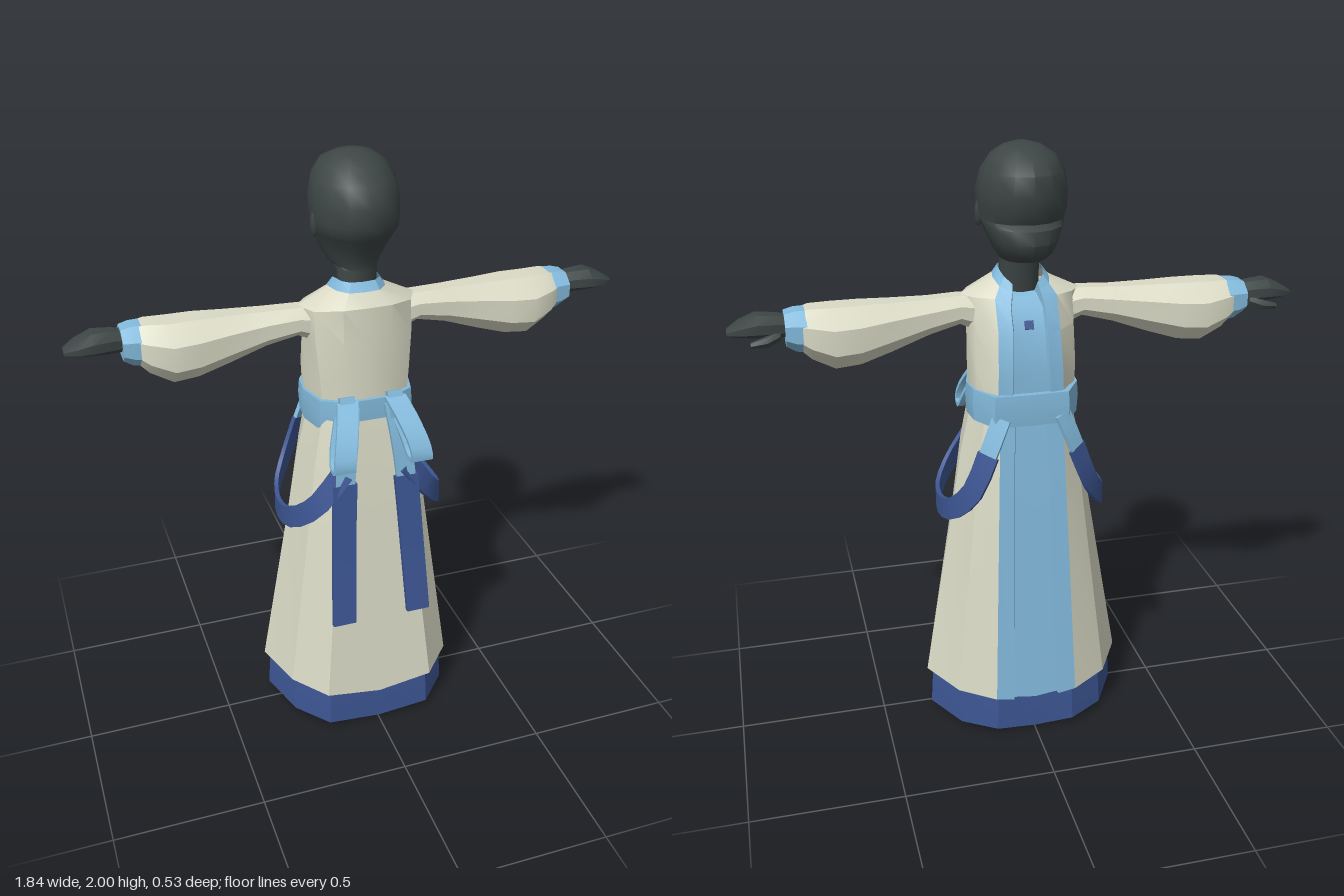
import * as THREE from 'three';
import { toCreasedNormals } from 'three/addons/utils/BufferGeometryUtils.js';

const V = (x, y, z) => new THREE.Vector3(x, y, z);
const mat = (name, color) => new THREE.MeshStandardMaterial({ name, color, side: THREE.DoubleSide });

// Skin a list of closed rings; trim(column) picks the second material
function loft(rings, { caps = true, trim = () => false, crease = 0.5 } = {}) {
  const faces = [[], []];
  const n = rings[0].length;
  const tri = (k, ...ps) => ps.forEach((p) => faces[k].push(p.x, p.y, p.z));
  for (let i = 0; i + 1 < rings.length; i++) {
    for (let j = 0; j < n; j++) {
      const a = rings[i][j], b = rings[i][(j + 1) % n];
      const c = rings[i + 1][(j + 1) % n], d = rings[i + 1][j];
      const k = trim(j) ? 1 : 0;
      tri(k, a, d, c);
      tri(k, a, c, b);
    }
  }
  if (caps) {
    const ends = [rings[0], [...rings[rings.length - 1]].reverse()];
    for (const r of ends) {
      const mid = r.reduce((s, p) => s.add(p), V(0, 0, 0)).divideScalar(n);
      r.forEach((p, j) => tri(0, mid, p, r[(j + 1) % n]));
    }
  }
  const geo = new THREE.BufferGeometry();
  geo.setAttribute('position', new THREE.Float32BufferAttribute(faces.flat(), 3));
  geo.addGroup(0, faces[0].length / 3, 0);
  if (faces[1].length) geo.addGroup(faces[0].length / 3, faces[1].length / 3, 1);
  return toCreasedNormals(geo, crease);
}

// Complete a half ring (front to back along +x) with its mirror image
const whole = (half) => [...half, ...half.slice(1, -1).reverse().map((p) => V(-p.x, p.y, p.z))];
const flip = (rings) => rings.map((r) => r.map((p) => V(-p.x, p.y, p.z)).reverse());
// Half ring from [x, z] pairs, with height given by a rule
const level = (pairs, y, s = 1) =>
  whole(pairs.map(([x, z]) => V(x * s, typeof y === 'function' ? y(x) : y, z * s)));

// Limb rings along x from [x, yMid, yRadius, zMid, zRadius]
const limb = (rows, n = 8) => rows.map(([x, yc, ry, zc, rz]) =>
  Array.from({ length: n }, (_, j) => {
    const a = ((j + 0.5) / n) * Math.PI * 2;
    return V(x, yc + ry * Math.cos(a) * 1.06, zc - rz * Math.sin(a) * 1.06);
  }));

// Flat ribbon along part of a curve
function ribbonRings(curve, from, to, steps, width, thick, widthDir) {
  return Array.from({ length: steps + 1 }, (_, i) => {
    const u = from + ((to - from) * i) / steps;
    const p = curve.getPoint(u), t = curve.getTangent(u);
    const w = widthDir(p, t).normalize();
    const n = t.clone().cross(w).normalize();
    return [[-1, 1], [1, 1], [1, -1], [-1, -1]].map(([a, b]) =>
      p.clone().addScaledVector(w, (a * width) / 2).addScaledVector(n, (b * thick) / 2));
  });
}

export function createModel() {
  const cream = mat('cream cloth', 0xdadac6);
  const blue = mat('light blue trim', 0x83badc);
  const navy = mat('navy cloth', 0x3c5592);
  const dark = mat('charcoal body', 0x3d4545);
  const model = new THREE.Group();
  const add = (name, geo, material) => {
    const m = new THREE.Mesh(geo, material);
    m.name = name;
    model.add(m);
    return m;
  };
  const both = (name, rings, material) => {
    add('left' + name, loft(rings), material);
    add('right' + name, loft(flip(rings)), material);
  };
  const frontBand = (j) => j < 3 || j > 12;

  // Head and neck: [y, back z, front z, half width]
  const head = [
    [1.5, 0.04, -0.05, 0.062], [1.64, 0.045, -0.07, 0.064], [1.65, 0.048, -0.15, 0.075],
    [1.675, 0.055, -0.19, 0.092], [1.715, 0.08, -0.212, 0.11], [1.757, 0.105, -0.203, 0.128],
    [1.772, 0.115, -0.178, 0.134], [1.8, 0.125, -0.196, 0.14], [1.86, 0.13, -0.21, 0.14],
    [1.92, 0.105, -0.205, 0.128], [1.965, 0.06, -0.17, 0.1], [1.99, 0.015, -0.11, 0.06],
    [2.0, -0.02, -0.06, 0.02],
  ].map(([y, zb, zf, w]) => Array.from({ length: 14 }, (_, j) => {
    const a = (j / 14) * Math.PI * 2;
    return V(w * Math.sin(a), y, (zb + zf) / 2 - ((zb - zf) / 2) * Math.cos(a));
  }));
  add('head', loft(head, { crease: 0.7 }), dark);
  for (const s of [1, -1]) {
    const ear = add('ear', new THREE.SphereGeometry(1, 8, 6), dark);
    ear.scale.set(0.012, 0.04, 0.022);
    ear.position.set(s * 0.133, 1.785, -0.025);
  }

  // Robe bodice with a raised lapel band on each side of the front panel
  const waist = [[0, -0.165], [0.06, -0.165], [0.065, -0.177], [0.11, -0.172], [0.16, -0.1],
    [0.17, -0.03], [0.14, 0.07], [0.06, 0.105], [0, 0.105]];
  const ribs = [[0, -0.167], [0.055, -0.167], [0.06, -0.18], [0.105, -0.172], [0.165, -0.1],
    [0.178, -0.03], [0.15, 0.07], [0.07, 0.103], [0, 0.103]];
  const chest = [[0, -0.15], [0.05, -0.15], [0.055, -0.163], [0.1, -0.15], [0.16, -0.09],
    [0.178, -0.03], [0.16, 0.06], [0.08, 0.102], [0, 0.102]];
  const shoulder = whole([V(0, 1.5, -0.115), V(0.05, 1.5, -0.115), V(0.055, 1.505, -0.128),
    V(0.1, 1.53, -0.105), V(0.16, 1.53, -0.07), V(0.195, 1.53, -0.02), V(0.16, 1.53, 0.05),
    V(0.08, 1.54, 0.097), V(0, 1.54, 0.1)]);
  const collarBase = whole([V(0, 1.53, -0.09), V(0.04, 1.53, -0.09), V(0.045, 1.548, -0.105),
    V(0.08, 1.562, -0.08), V(0.088, 1.575, -0.05), V(0.09, 1.58, -0.02), V(0.08, 1.582, 0.03),
    V(0.05, 1.582, 0.065), V(0, 1.582, 0.07)]);
  const collarTop = whole([V(0, 1.535, -0.065), V(0.035, 1.54, -0.07), V(0.04, 1.57, -0.088),
    V(0.062, 1.59, -0.07), V(0.068, 1.6, -0.045), V(0.07, 1.608, -0.015), V(0.062, 1.61, 0.025),
    V(0.04, 1.61, 0.047), V(0, 1.61, 0.052)]);
  add('bodice', loft([level(waist, 1.15), level(ribs, 1.3), level(chest, 1.43), shoulder, collarBase],
    { caps: false, trim: frontBand }), [cream, blue]);
  add('collar', loft([collarBase, collarTop], { caps: false }), blue);
  const button = add('chestButton', new THREE.BoxGeometry(0.028, 0.028, 0.009), navy);
  button.position.set(0, 1.45, -0.142);
  button.rotation.set(0.46, 0, 0);

  // Long faceted skirt, opening from waist to hem
  const top = [[0, -0.165], [0.05, -0.165], [0.055, -0.178], [0.1, -0.175], [0.14, -0.13],
    [0.165, -0.03], [0.15, 0.08], [0.09, 0.135], [0, 0.135]];
  const hem = [[0, -0.25], [0.075, -0.25], [0.08, -0.266], [0.14, -0.263], [0.26, -0.2],
    [0.345, -0.05], [0.29, 0.13], [0.19, 0.24], [0, 0.242]];
  const hemY = (x) => 0.13 + 0.04 * Math.min(1, Math.abs(x) / 0.3);
  const between = (t) => top.map(([x, z], i) => [x + (hem[i][0] - x) * t, z + (hem[i][1] - z) * t]);
  add('skirt', loft([level(hem, hemY), level(between(0.42), 0.78), level(between(0.22), 1.0),
    level(top, 1.17)], { caps: false, trim: frontBand, crease: 0.2 }), [cream, blue]);

  // Navy underskirt below the hem
  const under = hem.filter((_, i) => i !== 1 && i !== 2);
  under[0] = [0, -0.258];
  add('underskirt', loft([
    level(under, (x) => 0.008 + 0.022 * Math.min(1, Math.abs(x) / 0.3), 0.965),
    level(under, 0.19, 0.935), level(under, 0.6, 0.7)], { caps: false, crease: 0.2 }), navy);

  // Belt
  const belt = [[0, -0.192], [0.12, -0.187], [0.172, -0.1], [0.18, -0.02], [0.155, 0.08],
    [0.08, 0.12], [0, 0.122]];
  add('belt', loft([level(belt, 1.13, 0.92), level(belt, 1.13), level(belt, 1.19, 1.02),
    level(belt, 1.235), level(belt, 1.235, 0.9)], { caps: false, crease: 0.4 }), blue);

  // Sleeves, cuffs and hands
  both('Sleeve', limb([[0.12, 1.465, 0.065, -0.02, 0.06], [0.2, 1.485, 0.047, -0.02, 0.06],
    [0.3, 1.472, 0.058, -0.03, 0.064], [0.42, 1.452, 0.08, -0.036, 0.076],
    [0.52, 1.438, 0.096, -0.04, 0.095], [0.6, 1.434, 0.099, -0.04, 0.1],
    [0.67, 1.453, 0.081, -0.046, 0.085], [0.695, 1.462, 0.066, -0.05, 0.072]]), cream);
  both('Cuff', limb([[0.68, 1.463, 0.068, -0.05, 0.074], [0.715, 1.465, 0.065, -0.05, 0.07],
    [0.745, 1.47, 0.052, -0.05, 0.066]]), blue);
  both('Hand', limb([[0.72, 1.478, 0.03, -0.05, 0.038], [0.77, 1.482, 0.036, -0.05, 0.048],
    [0.83, 1.486, 0.036, -0.047, 0.062], [0.88, 1.478, 0.024, -0.045, 0.052],
    [0.918, 1.468, 0.01, -0.045, 0.025]]), dark);
  both('Thumb', limb([[0.76, 1.46, 0.018, -0.08, 0.02], [0.8, 1.447, 0.017, -0.1, 0.018],
    [0.85, 1.44, 0.009, -0.105, 0.01]], 6), dark);

  // Ribbon tails, bow loops and side swags
  const across = () => V(1, 0, 0);
  const path = (...pts) => new THREE.CatmullRomCurve3(pts.map((p) => V(...p)));
  const tail = path([0.075, 1.22, 0.135], [0.09, 1.1, 0.165], [0.105, 0.97, 0.178],
    [0.12, 0.72, 0.21], [0.133, 0.465, 0.248]);
  both('TailTop', ribbonRings(tail, 0, 0.5, 4, 0.065, 0.016, across), blue);
  both('Tail', ribbonRings(tail, 0.5, 1, 4, 0.08, 0.018, across), navy);

  const loop = path([0.08, 1.24, 0.13], [0.1, 1.19, 0.19], [0.125, 1.11, 0.245], [0.13, 1.065, 0.255],
    [0.13, 1.06, 0.215], [0.12, 1.11, 0.18], [0.09, 1.2, 0.135]);
  both('BowLoop', ribbonRings(loop, 0, 1, 14, 0.07, 0.014, across), blue);
  const knot = path([0.08, 1.255, 0.12], [0.082, 1.2, 0.142], [0.085, 1.14, 0.14]);
  both('BowKnot', ribbonRings(knot, 0, 1, 3, 0.05, 0.025, across), blue);

  const swag = path([0.1, 1.16, -0.185], [0.14, 1.06, -0.195], [0.2, 0.91, -0.185], [0.255, 0.83, -0.12],
    [0.278, 0.805, -0.02], [0.262, 0.82, 0.08], [0.2, 0.89, 0.155], [0.11, 1.01, 0.172]);
  const aroundHip = (p, t) => t.clone().cross(V(p.x, 0, p.z + 0.02).normalize());
  both('SwagTop', ribbonRings(swag, 0, 0.16, 3, 0.06, 0.014, aroundHip), blue);
  both('Swag', ribbonRings(swag, 0.16, 1, 14, 0.072, 0.014, aroundHip), navy);

  // Legs and shoes under the skirt
  for (const s of [1, -1]) {
    const leg = add('leg', new THREE.CylinderGeometry(0.06, 0.032, 0.7, 8), dark);
    leg.position.set(s * 0.085, 0.39, -0.005);
    const shoe = add('shoe', new THREE.SphereGeometry(1, 8, 6), dark);
    shoe.scale.set(0.042, 0.036, 0.095);
    shoe.position.set(s * 0.085, 0.036, -0.055);
  }
  return model;
}
